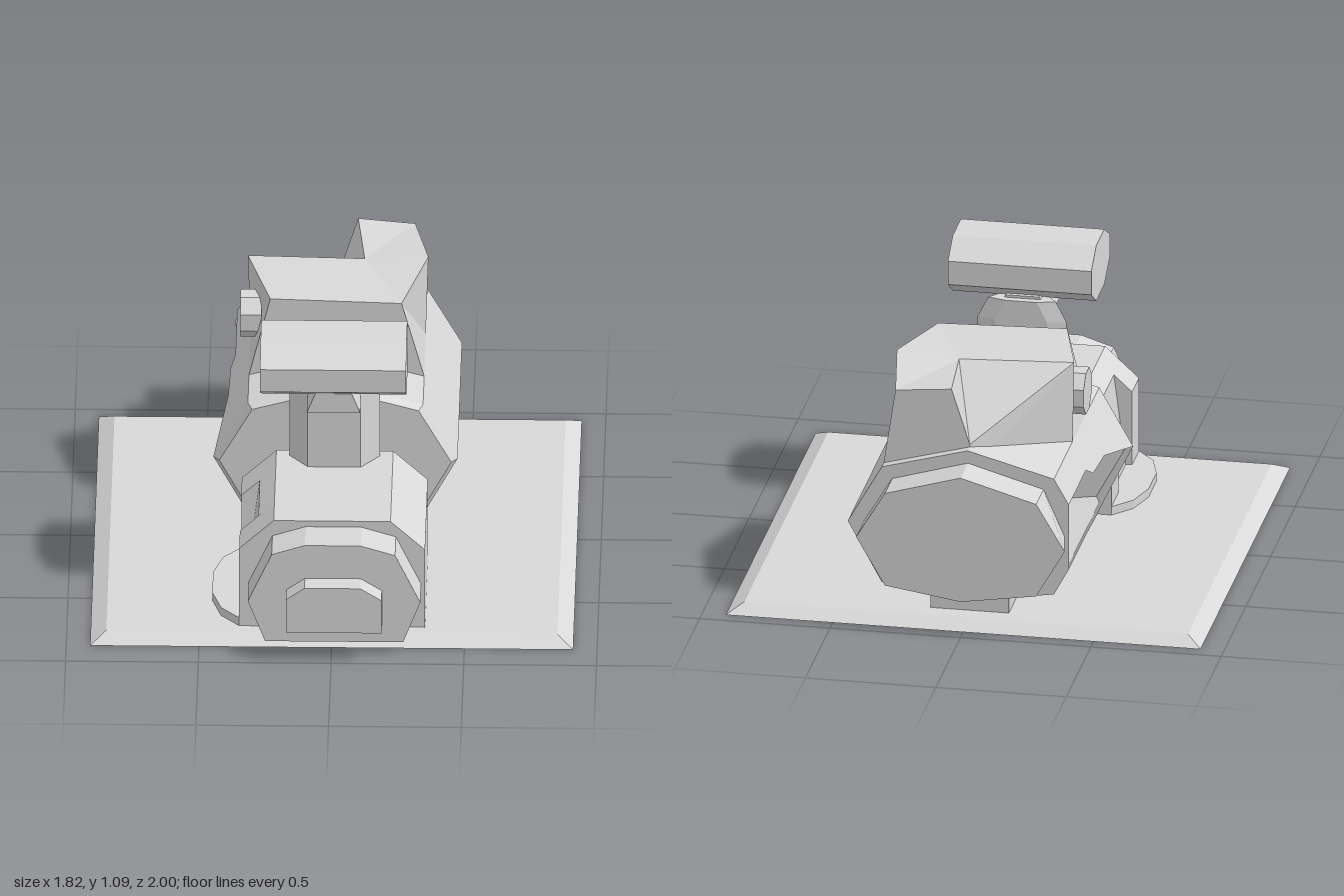
import * as THREE from 'three';
import { ConvexGeometry } from 'three/addons/geometries/ConvexGeometry.js';

const grey = new THREE.MeshStandardMaterial({ color: 0xd8d8d8 });
grey.flatShading = true;
grey.side = THREE.DoubleSide; // the base and rear body are open shells

export function createModel() {
  const model = new THREE.Group();

  const add = (name, geometry) => {
    const mesh = new THREE.Mesh(geometry, grey);
    mesh.name = name;
    model.add(mesh);
    return mesh;
  };

  // Outline in x/y, extruded from z0 to z1
  const prism = (name, pts, z0, z1) => {
    const shape = new THREE.Shape(pts.map(([x, y]) => new THREE.Vector2(x, y)));
    const g = new THREE.ExtrudeGeometry(shape, { depth: z1 - z0, bevelEnabled: false });
    g.translate(0, 0, z0);
    return add(name, g);
  };

  // Right half outline listed from bottom to top, mirrored to the left
  const mirror = (half) => [
    ...half,
    ...half.filter(([x]) => x > 0).reverse().map(([x, y]) => [-x, y]),
  ];

  const hull = (name, pts) =>
    add(name, new ConvexGeometry(pts.map((p) => new THREE.Vector3(...p))));

  // Flat polygons, each a list of corners, cut into triangle fans
  const polygons = (name, faces) => {
    const corners = [];
    for (const f of faces) {
      for (let i = 1; i < f.length - 1; i++) corners.push(...f[0], ...f[i], ...f[i + 1]);
    }
    const g = new THREE.BufferGeometry();
    g.setAttribute('position', new THREE.Float32BufferAttribute(corners, 3));
    g.computeVertexNormals();
    return add(name, g);
  };

  // Base plate: top and sloping rim, hollow underneath
  const rim = (x, y, z0, z1) => [[-x, y, z1], [x, y, z1], [x, y, z0], [-x, y, z0]];
  const low = rim(0.91, 0, -0.945, 0.875);
  const top = rim(0.85, 0.034, -0.885, 0.815);
  polygons('basePlate', [top, ...low.map((p, i) => {
    const j = (i + 1) % 4;
    return [p, low[j], top[j], top[i]];
  })]);

  // Front housing: full end sections and a middle with one leaning, recessed side
  const housing = mirror([[0.35, 0.034], [0.35, 0.365], [0.22, 0.485]]);
  prism('housingRear', housing, 0.21, 0.35);
  prism('housingFront', housing, 0.63, 0.77);
  prism('housingMiddle',
    [[0.35, 0.034], [0.35, 0.365], [0.22, 0.485], [-0.22, 0.485], [-0.28, 0.43], [-0.33, 0.034]],
    0.35, 0.63);

  // Curved step beside the housing
  const step = new THREE.Shape([
    [-0.25, -0.77], [-0.25, -0.21], [-0.35, -0.21], [-0.42, -0.29],
    [-0.455, -0.41], [-0.455, -0.57], [-0.42, -0.69], [-0.35, -0.77],
  ].map(([x, y]) => new THREE.Vector2(x, y)));
  const stepGeometry = new THREE.ExtrudeGeometry(step, { depth: 0.034, bevelEnabled: false });
  stepGeometry.rotateX(-Math.PI / 2);
  stepGeometry.translate(0, 0.034, 0);
  add('sideStep', stepGeometry);

  // Front cap and nub
  prism('frontCap',
    [[0.27, 0.05], [0.335, 0.22], [0.24, 0.42], [0.11, 0.46], [-0.1, 0.46], [-0.225, 0.42], [-0.315, 0.22], [-0.25, 0.05]],
    0.76, 0.92);
  prism('frontNub', [[0.19, 0.13], [0.19, 0.27], [0.11, 0.32], [-0.1, 0.32], [-0.17, 0.27], [-0.17, 0.13]], 0.91, 1.0);

  // Post with a forward arm carrying the head
  const post = (x, y) => [[-x, y, 0.34], [x, y, 0.34], [x + 0.07, y, 0.25],
    [-x - 0.07, y, 0.25], [x, y, 0.23], [-x, y, 0.23]];
  hull('post', [...post(0.1, 0.47), ...post(0.1, 0.79), ...post(0.06, 0.87)]);
  prism('arm', [[-0.1, 0.79], [0.1, 0.79], [0.065, 0.88], [-0.065, 0.88]], 0.26, 0.475);

  // Horizontal eight-sided head
  const head = [[0.575, 1.025], [0.465, 1.09], [0.3, 1.09], [0.2, 1.025],
    [0.2, 0.93], [0.3, 0.865], [0.465, 0.865], [0.575, 0.93]];
  hull('head', [-0.275, 0.275].flatMap((x) => head.map(([z, y]) => [x, y, z])));

  // Coupling between the two housings
  prism('coupling', mirror([[0, 0.215], [0.13, 0.23], [0.17, 0.3], [0.13, 0.37], [0, 0.41]]), 0.05, 0.25);

  // Rear body shell; the ridge on one side opens into a slot that widens to the rear
  const section = (z, lip, scale) => {
    const open = (0.46 - lip) / 0.13; // share of each side facet cut away
    return [
      [-lip, 0.38 - 0.24 * open], [-0.33, 0.14], [0, 0.09], [0.33, 0.14], [0.46, 0.38],
      [0.33, 0.61], [0, 0.7], [-0.33, 0.61], [-lip, 0.38 + 0.23 * open],
    ].map(([x, y]) => [x * scale, 0.39 + (y - 0.39) * scale, z]);
  };
  const sections = [
    section(0.1, 0.46, 0.95), section(0.07, 0.46, 1), section(-0.25, 0.41, 1),
    section(-0.45, 0.405, 1), section(-0.5, 0.387, 1), section(-0.85, 0.387, 1),
  ];
  const bodyFaces = [sections[0], [...sections[5]].reverse()];
  for (let k = 0; k < 5; k++) {
    const [s, t] = [sections[k], sections[k + 1]];
    for (let i = 0; i < 8; i++) bodyFaces.push([s[i], t[i], t[i + 1], s[i + 1]]);
  }
  polygons('rearBody', bodyFaces);

  // Rear cap, flaring slightly on the same side
  const cap = mirror([[0, 0.145], [0.29, 0.19], [0.4, 0.38], [0.29, 0.565], [0, 0.65]]);
  hull('rearCap', [
    ...cap.map(([x, y]) => [x, y, -1.0]),
    ...cap.map(([x, y]) => [Math.max(x, -0.37), y, -0.85]),
  ]);

  // Foot under the rear body
  const foot = add('rearFoot', new THREE.BoxGeometry(0.3, 0.086, 0.83));
  foot.position.set(0, 0.077, -0.395);

  // Upper block with one rear corner cut away
  const P = {
    a: [-0.33, 0.61, -0.155], b: [0.33, 0.61, -0.155], c: [0.33, 0.61, -0.49],
    d: [0.33, 0.61, -0.81], h: [0, 0.61, -0.81], g: [-0.33, 0.61, -0.47],
    A: [-0.25, 0.935, -0.155], B: [0.245, 0.92, -0.155], C: [0.34, 0.94, -0.49],
    D: [0.285, 0.91, -0.81], E: [0.07, 0.93, -0.81], F: [0.1, 0.925, -0.5],
    G: [-0.34, 0.94, -0.49], H: [0, 0.71, -0.81],
  };
  polygons('upperBlock', ['abBA', 'cCBb', 'cdDC', 'dhHED', 'hgGH', 'AGga',
    'ABF', 'AFG', 'BCF', 'CDF', 'DEF', 'EHF', 'HGF'].map((f) => [...f].map((k) => P[k])));

  // Small round knob on the side of the block
  const knob = add('sideKnob', new THREE.CylinderGeometry(0.09, 0.09, 0.08, 8));
  knob.rotation.set(Math.PI / 8, 0, Math.PI / 2);
  knob.position.set(-0.325, 0.77, -0.35);

  return model;
}
